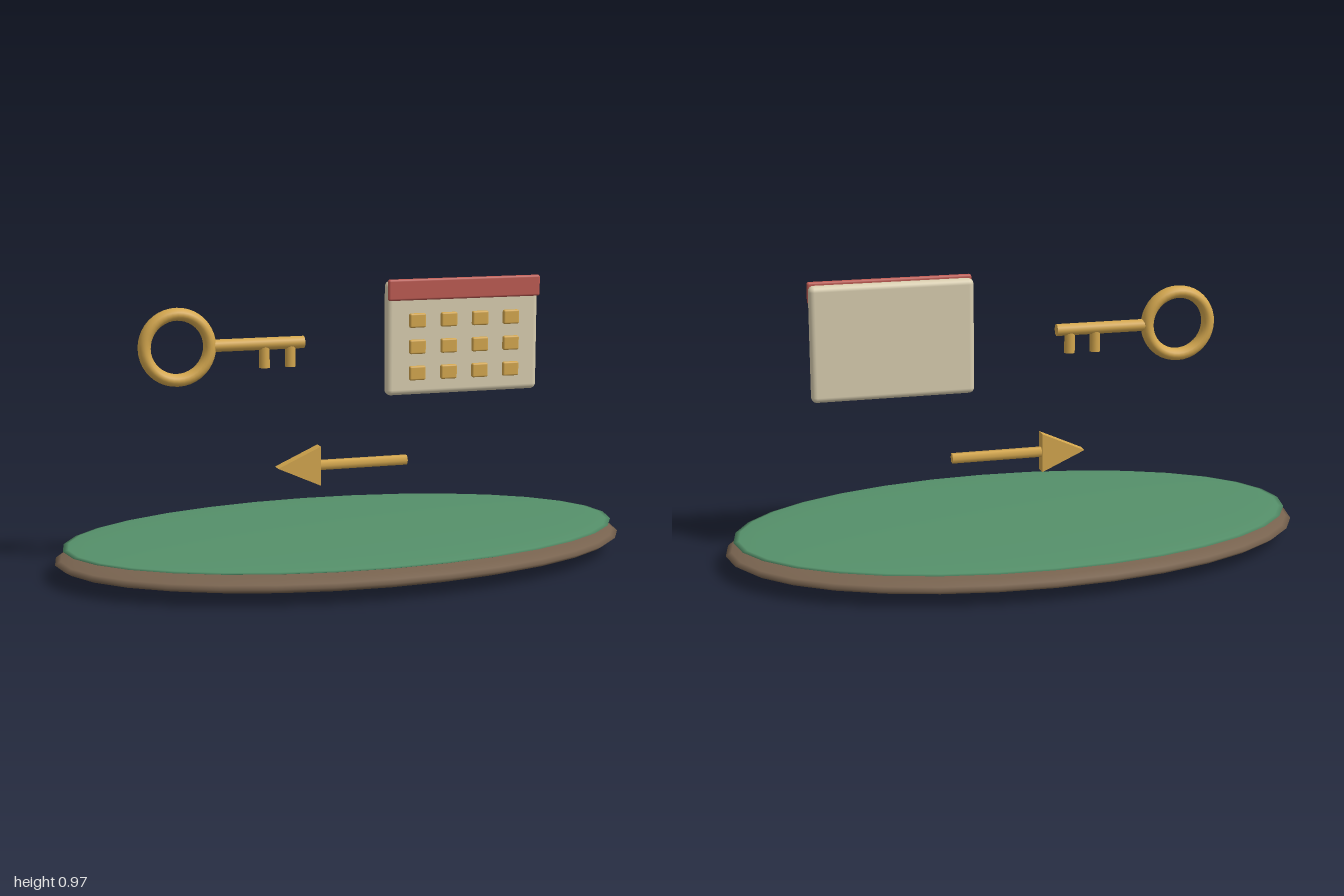
import * as THREE from 'three';
import { RoundedBoxGeometry } from 'three/addons/geometries/RoundedBoxGeometry.js';

const paint = (color) => new THREE.MeshStandardMaterial({ color });
const gold = paint(0xd4a74e);
const green = paint(0x55906a);
const brown = paint(0x78634f);
const cream = paint(0xd9ceb0);
const red = paint(0xbd5a52);

function add(parent, name, geometry, material, x, y, z) {
  const mesh = new THREE.Mesh(geometry, material);
  mesh.name = name;
  mesh.position.set(x, y, z);
  parent.add(mesh);
  return mesh;
}

function group(parent, name) {
  const g = new THREE.Group();
  g.name = name;
  parent.add(g);
  return g;
}

// Round bar lying along x from x0 to x1
function barX(parent, name, radius, sides, x0, x1, y) {
  const geometry = new THREE.CylinderGeometry(radius, radius, x1 - x0, sides);
  geometry.rotateZ(Math.PI / 2);
  return add(parent, name, geometry, gold, (x0 + x1) / 2, y, 0);
}

export function createModel() {
  const model = new THREE.Group();
  model.name = 'keyAndCalendarDisplay';

  // Base: a flattened brown disc topped with a thinner green one
  const base = group(model, 'base');
  const disc = () => new THREE.SphereGeometry(1, 32, 16);
  add(base, 'baseRim', disc().scale(1, 0.06, 0.545), brown, 0, 0.06, 0);
  add(base, 'baseTop', disc().scale(0.973, 0.018, 0.524), green, 0, 0.105, 0);

  // Key: ring, shaft and two teeth
  const key = group(model, 'key');
  const ring = new THREE.TorusGeometry(0.11, 0.0215, 16, 40);
  ring.scale(1, 1, 1.25);
  add(key, 'keyRing', ring, gold, -0.578, 0.768, 0);
  barX(key, 'keyShaft', 0.021, 12, -0.46, -0.144, 0.768);
  for (const x of [-0.281, -0.191]) {
    const tooth = new THREE.CylinderGeometry(0.0185, 0.0185, 0.08, 12);
    add(key, 'keyTooth', tooth, gold, x, 0.727, 0);
  }

  // Arrow pointing to -x: hexagonal shaft and flat triangular head
  const arrow = group(model, 'arrow');
  barX(arrow, 'arrowShaft', 0.0185, 6, -0.095, 0.223, 0.342);
  const triangle = new THREE.Shape([
    new THREE.Vector2(-0.241, 0),
    new THREE.Vector2(-0.091, -0.068),
    new THREE.Vector2(-0.091, 0.068),
  ]);
  const head = new THREE.ExtrudeGeometry(triangle, { depth: 0.042, bevelEnabled: false });
  add(arrow, 'arrowHead', head, gold, 0, 0.342, -0.021);

  // Calendar: rounded page, header band and a grid of day tiles
  const calendar = group(model, 'calendar');
  const page = new RoundedBoxGeometry(0.553, 0.393, 0.043, 3, 0.019);
  add(calendar, 'calendarPage', page, cream, 0.421, 0.767, 0);
  const band = new RoundedBoxGeometry(0.553, 0.073, 0.018, 3, 0.008);
  add(calendar, 'calendarHeader', band, red, 0.421, 0.935, 0.029);
  const tile = new RoundedBoxGeometry(0.058, 0.049, 0.018, 2, 0.006);
  for (let row = 0; row < 3; row++) {
    for (let col = 0; col < 4; col++) {
      add(calendar, 'dayTile', tile, gold, 0.251 + col * 0.114, 0.829 - row * 0.0905, 0.029);
    }
  }

  return model;
}
